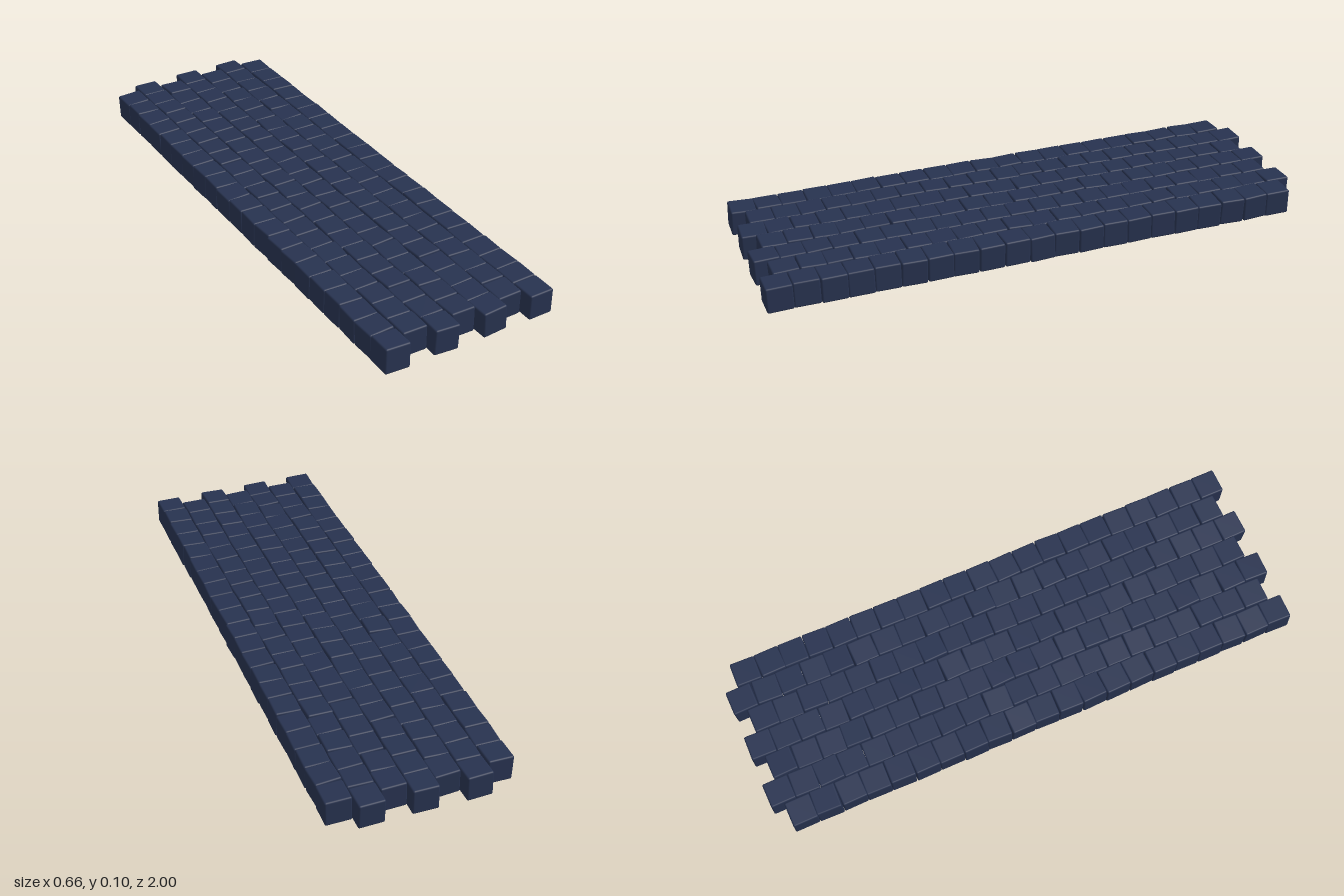
import * as THREE from 'three';
import { RoundedBoxGeometry } from 'three/addons/geometries/RoundedBoxGeometry.js';

// Small seeded generator giving values in -1..1
function makeJitter(seed) {
  let s = seed;
  return (amount) => {
    s = (s * 16807) % 2147483647;
    return ((s / 2147483647) * 2 - 1) * amount;
  };
}

export function createModel() {
  const path = new THREE.Group();
  path.name = 'cobblestonePath';

  const columns = 7, rows = 21;
  const pitchX = 0.0928, pitchZ = 0.0929;
  const stagger = 0.0235; // alternate columns slide half this pattern's offset each way
  const jitter = makeJitter(4711);

  const material = new THREE.MeshStandardMaterial({ color: 0x27324f });
  const stoneGeometry = new RoundedBoxGeometry(0.092, 0.094, 0.0925, 2, 0.006);

  for (let c = 0; c < columns; c++) {
    const column = new THREE.Group();
    column.name = `stoneColumn${c + 1}`;
    column.position.x = (c - (columns - 1) / 2) * pitchX;
    column.position.z = c % 2 === 0 ? stagger : -stagger;

    // Slightly tilted and shifted paving stones
    for (let r = 0; r < rows; r++) {
      const stone = new THREE.Mesh(stoneGeometry, material);
      stone.name = 'pavingStone';
      stone.position.set(jitter(0.001), 0.0555 + jitter(0.001), (r - (rows - 1) / 2) * pitchZ);
      stone.rotation.set(jitter(0.04), jitter(0.04), jitter(0.05));
      column.add(stone);
    }
    path.add(column);
  }
  return path;
}
